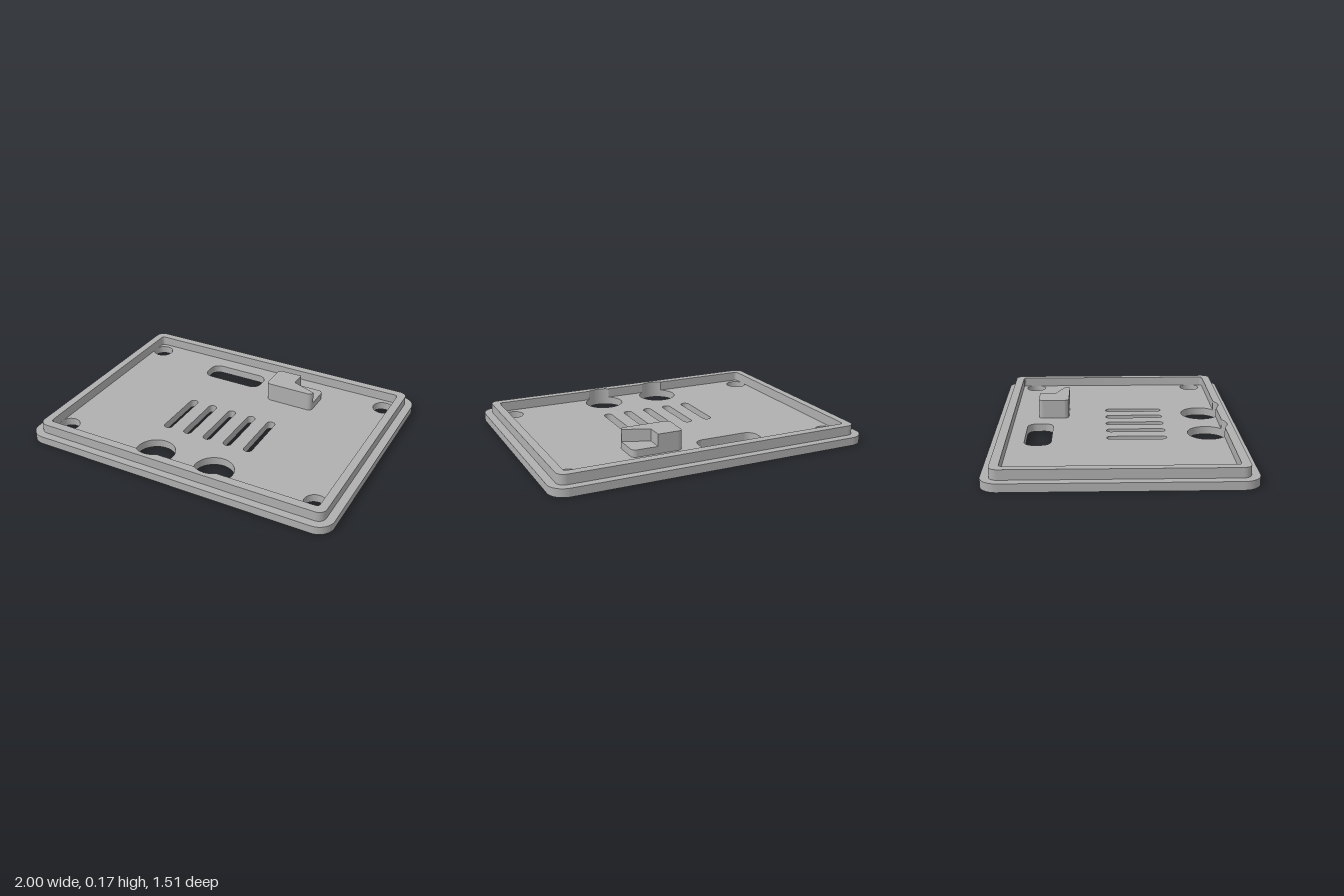
import * as THREE from 'three';
import { toCreasedNormals } from 'three/addons/utils/BufferGeometryUtils.js';

const PORT_Z = 0.557, PORT_R = 0.122, PORTS = [-0.2, 0.2];

// Rounded rectangle in plan: shape x is model x, shape y is model z
function roundRect(path, cx, cz, hw, hd, r) {
  const q = Math.PI / 2;
  path.moveTo(cx + hw, cz - hd + r);
  path.absarc(cx + hw - r, cz + hd - r, r, 0, q);
  path.absarc(cx - hw + r, cz + hd - r, r, q, 2 * q);
  path.absarc(cx - hw + r, cz - hd + r, r, 2 * q, 3 * q);
  path.absarc(cx + hw - r, cz - hd + r, r, 3 * q, 4 * q);
  path.closePath();
  return path;
}

function circle(cx, cz, r) {
  return new THREE.Path().absarc(cx, cz, r, 0, Math.PI * 2);
}

// Extrude a plan shape between two heights
function slab(name, shape, y0, y1, material) {
  const geo = new THREE.ExtrudeGeometry(shape, { depth: y1 - y0, bevelEnabled: false, curveSegments: 20 });
  geo.rotateX(Math.PI / 2);
  geo.translate(0, y1, 0);
  const mesh = new THREE.Mesh(toCreasedNormals(geo, 0.6), material);
  mesh.name = name;
  return mesh;
}

export function createModel() {
  const group = new THREE.Group();
  group.name = 'enclosureLid';
  const grey = new THREE.MeshStandardMaterial({ color: 0xb0b0b0 });
  grey.name = 'grey plastic';

  // Base plate with screw holes, round ports, a connector slot and vents
  const plate = roundRect(new THREE.Shape(), 0, 0, 1, 0.757, 0.1);
  for (const x of [-0.84, 0.84])
    for (const z of [-0.562, 0.557]) plate.holes.push(circle(x, z, 0.066));
  for (const x of PORTS) plate.holes.push(circle(x, PORT_Z, PORT_R));
  plate.holes.push(roundRect(new THREE.Path(), -0.202, -0.48, 0.203, 0.081, 0.06));
  for (let i = -2; i <= 2; i++)
    plate.holes.push(roundRect(new THREE.Path(), i * 0.14, 0.118, 0.027, 0.183, 0.0265));
  group.add(slab('basePlate', plate, 0, 0.05, grey));

  // Raised rim, its inner wall notched where the ports cut into it
  const rim = roundRect(new THREE.Shape(), 0, 0, 0.95, 0.708, 0.05);
  const inner = new THREE.Path();
  const w = 0.9, d = 0.655, r = 0.02, q = Math.PI / 2;
  const a = Math.asin((d - PORT_Z) / PORT_R);
  inner.moveTo(-w, -d + r);
  inner.absarc(-w + r, d - r, r, 2 * q, q, true);
  for (const x of PORTS) inner.absarc(x, PORT_Z, PORT_R, Math.PI - a, a, true);
  inner.absarc(w - r, d - r, r, q, 0, true);
  inner.absarc(w - r, -d + r, r, 0, -q, true);
  inner.absarc(-w + r, -d + r, r, -q, -2 * q, true);
  inner.closePath();
  rim.holes.push(inner);
  group.add(slab('rim', rim, 0.05, 0.11, grey));

  // Support block: low base under an L-shaped upper part
  const x0 = 0.12, x1 = 0.44, z0 = -0.5, z1 = -0.305, c = 0.03, step = 0.095;
  const low = roundRect(new THREE.Shape(), (x0 + x1) / 2, (z0 + z1) / 2, (x1 - x0) / 2, (z1 - z0) / 2, c);
  group.add(slab('blockBase', low, 0.05, step, grey));
  const ell = new THREE.Shape();
  ell.moveTo(x1, -0.4);
  ell.absarc(x1 - c, z1 - c, c, 0, q);
  ell.absarc(x0 + c, z1 - c, c, q, 2 * q);
  ell.absarc(x0 + c, z0 + c, c, 2 * q, 3 * q);
  ell.lineTo(0.28, z0);
  ell.lineTo(0.28, -0.4);
  ell.closePath();
  group.add(slab('blockTop', ell, step, 0.17, grey));

  return group;
}
